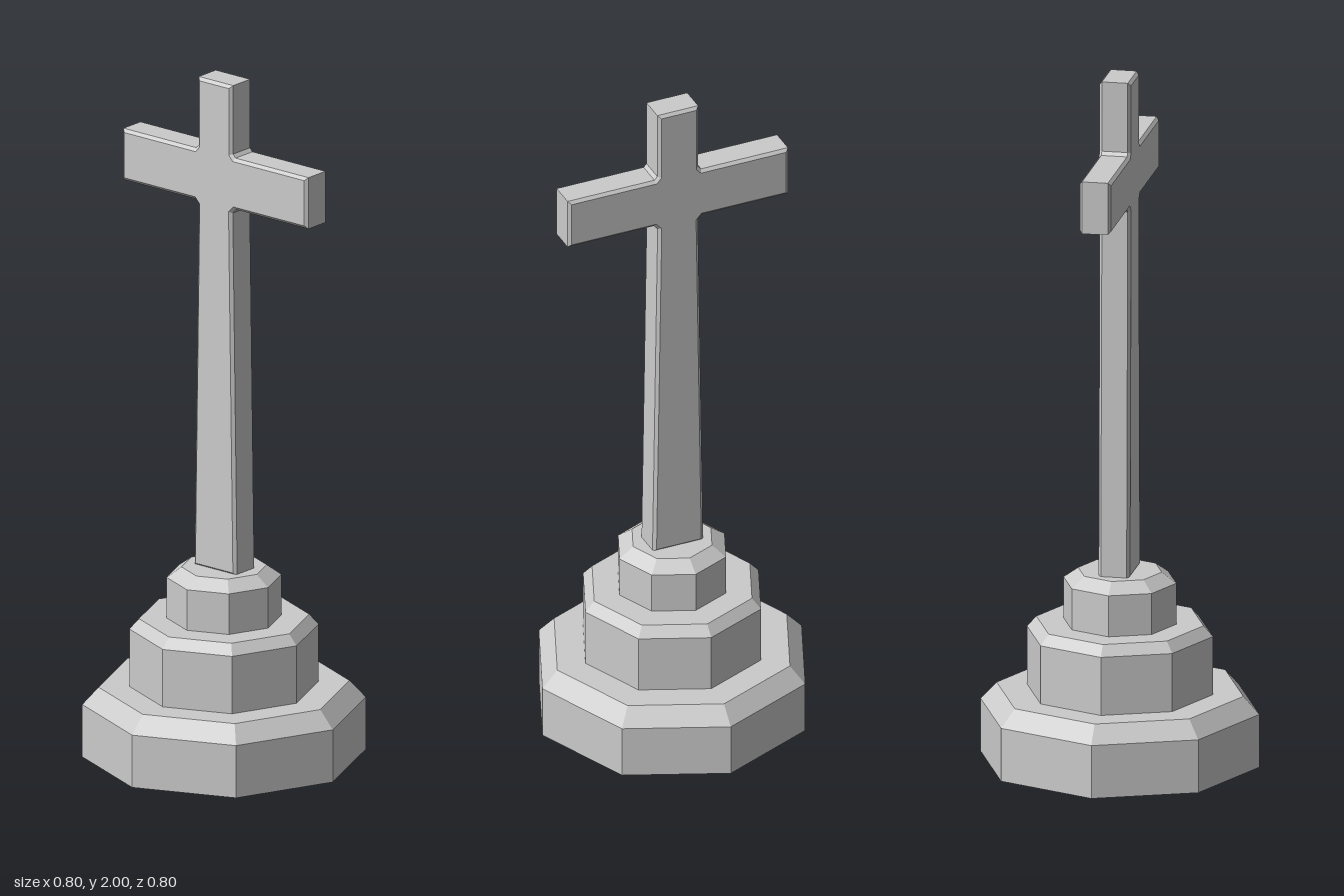
import * as THREE from 'three';

export function createModel() {
  const group = new THREE.Group();
  const solid = new THREE.MeshStandardMaterial({ color: 0xcccccc, flatShading: true });
  const shell = solid.clone();
  shell.side = THREE.DoubleSide;

  // Stepped octagonal plinth: a hollow sheet, open underneath
  const tiers = [ // outer radius, bottom, shoulder, top, top radius
    [0.4, 0, 0.155, 0.205, 0.354],
    [0.267, 0.205, 0.375, 0.405, 0.24],
    [0.162, 0.405, 0.525, 0.555, 0.12],
  ];
  const profile = [];
  for (const [r, bottom, shoulder, top, topR] of tiers) {
    profile.push(new THREE.Vector2(r, bottom), new THREE.Vector2(r, shoulder), new THREE.Vector2(topR, top));
  }
  profile.push(new THREE.Vector2(0, 0.555));
  const plinth = new THREE.Mesh(new THREE.LatheGeometry(profile, 8), shell);
  plinth.name = 'steppedPlinth';
  group.add(plinth);

  // Cross: mirrored outline with tapering shaft and small chamfers at the inner corners
  const half = [
    [0.078, 0.55], [0.062, 1.622], [0.074, 1.635], [0.34, 1.635],
    [0.34, 1.787], [0.072, 1.787], [0.063, 1.797], [0.063, 2],
  ];
  const outline = [...half, ...half.map(([x, y]) => [-x, y]).reverse()];
  const shape = new THREE.Shape(outline.map(([x, y]) => new THREE.Vector2(x, y)));
  const bevel = 0.009;
  const geometry = new THREE.ExtrudeGeometry(shape, {
    depth: 0.074, bevelEnabled: true, bevelSegments: 1,
    bevelThickness: 0.008, bevelSize: bevel, bevelOffset: -bevel,
  });
  geometry.translate(0, 0, -0.039);
  const cross = new THREE.Mesh(geometry, solid);
  cross.name = 'cross';
  group.add(cross);

  return group;
}
